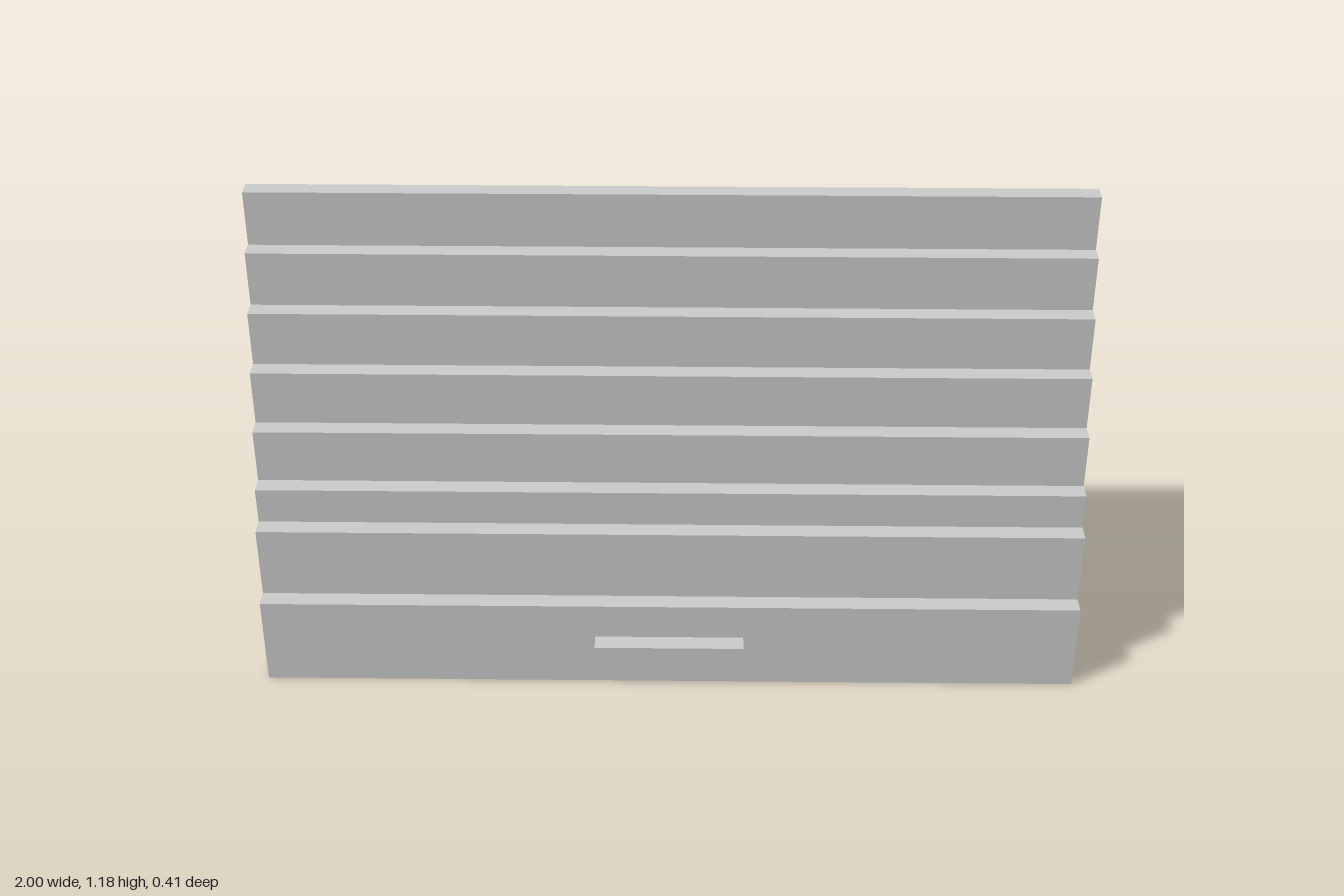
import * as THREE from 'three';

const U = 1 / 22; // one grid module

export function createModel() {
  const group = new THREE.Group();
  group.name = 'steppedPanel';
  const material = new THREE.MeshStandardMaterial({ color: 0xcccccc });

  const add = (name, geometry) => {
    const mesh = new THREE.Mesh(geometry, material);
    mesh.name = name;
    group.add(mesh);
  };

  // Box given by its width, its y range and its front z, one module deep
  const addBox = (name, width, y0, y1, zFront) => {
    const box = new THREE.BoxGeometry(width * U, (y1 - y0) * U, U);
    add(name, box.translate(0, (y0 + y1) / 2 * U, (zFront - 0.5) * U));
  };

  // L-shaped base: side profile (z, y) extruded across the width
  const profile = [[1.5, 0], [3.5, 0], [3.5, 5], [2.5, 5], [2.5, 9], [1.5, 9]];
  const shape = new THREE.Shape(profile.map(([z, y]) => new THREE.Vector2(-z * U, y * U)));
  const base = new THREE.ExtrudeGeometry(shape, { depth: 2, bevelEnabled: false });
  add('base', base.translate(0, 0, -1).rotateY(Math.PI / 2));

  // Slats stepping backwards as they rise
  const heights = [9, 11, 14, 17, 20, 23, 26];
  for (let i = 0; i < heights.length - 1; i++) {
    addBox(`slat${i + 1}`, 44, heights[i], heights[i + 1], 1.5 - i);
  }

  // Handle on the front of the base
  addBox('handle', 8, 2, 3, 4.5);

  return group;
}
